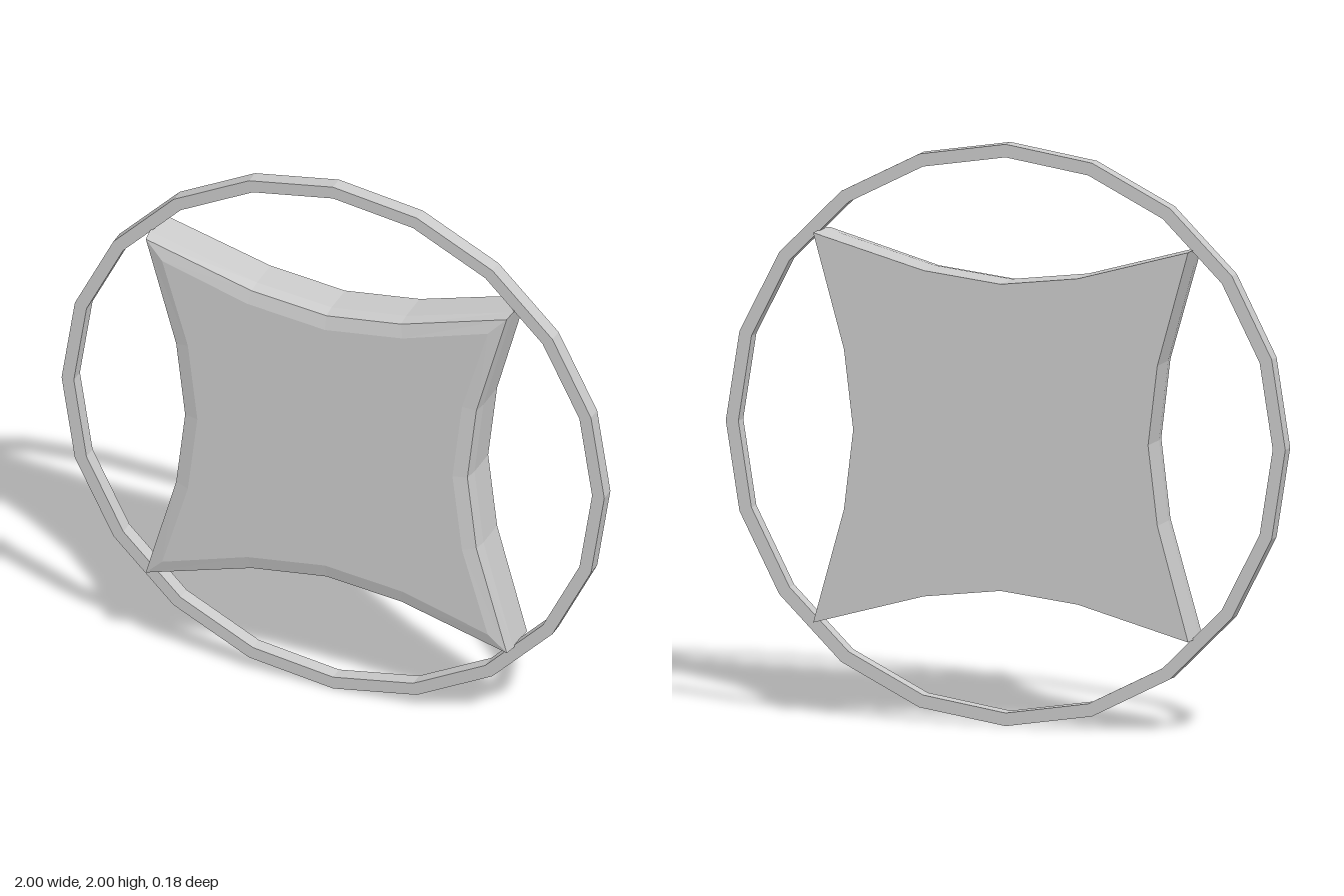
import * as THREE from 'three';

// Four-cornered outline with concave sides, counter-clockwise: one side turned four times
function outline(corner, quarterX, quarterY, mid) {
  const side = [[corner, -corner], [quarterY, -quarterX], [mid, 0], [quarterY, quarterX]];
  const points = [];
  for (let k = 0; k < 4; k++) {
    const turn = k * Math.PI / 2;
    for (const [x, y] of side) {
      points.push(new THREE.Vector2(x, y).rotateAround(new THREE.Vector2(), turn));
    }
  }
  return points;
}

// Joins cross-sections from back to front and closes both ends
function loft(sections) {
  const pos = [];
  const tri = (...corners) => corners.forEach((c) => pos.push(...c));
  const at = (s, i) => {
    const p = s.points[i % s.points.length];
    return [p.x, p.y, s.z];
  };
  const n = sections[0].points.length;
  const back = sections[0], front = sections[sections.length - 1];
  for (let i = 0; i < n; i++) {
    for (let k = 0; k < sections.length - 1; k++) {
      const a = sections[k], b = sections[k + 1];
      tri(at(a, i), at(a, i + 1), at(b, i + 1));
      tri(at(a, i), at(b, i + 1), at(b, i));
    }
    tri([0, 0, back.z], at(back, i + 1), at(back, i));
    tri([0, 0, front.z], at(front, i), at(front, i + 1));
  }
  const geometry = new THREE.BufferGeometry();
  geometry.setAttribute('position', new THREE.Float32BufferAttribute(pos, 3));
  geometry.computeVertexNormals();
  return geometry;
}

function polygon(radius, sides) {
  return Array.from({ length: sides }, (_, i) => {
    const a = i / sides * Math.PI * 2;
    return new THREE.Vector2(Math.cos(a) * radius, Math.sin(a) * radius);
  });
}

export function createModel() {
  const model = new THREE.Group();
  model.name = 'ringedPanel';
  const material = new THREE.MeshStandardMaterial({ color: 0xcccccc, flatShading: true });

  // Thin twenty-sided hoop
  const hoop = new THREE.Shape(polygon(1, 20));
  hoop.holes.push(new THREE.Path(polygon(0.955, 20)));
  const ring = new THREE.Mesh(
    new THREE.ExtrudeGeometry(hoop, { depth: 0.053, bevelEnabled: false }), material);
  ring.name = 'outerRing';
  ring.position.set(0, 1, -0.035);
  model.add(ring);

  // Concave-sided panel with a shallow bevelled front
  const full = outline(0.67, 0.275, 0.56, 0.527);
  const panel = new THREE.Mesh(loft([
    { z: -0.088, points: full },
    { z: 0.03, points: full },
    { z: 0.076, points: outline(0.665, 0.275, 0.553, 0.52) },
    { z: 0.088, points: outline(0.6, 0.285, 0.505, 0.47) },
  ]), material);
  panel.name = 'centrePanel';
  panel.position.y = 1;
  model.add(panel);

  return model;
}
